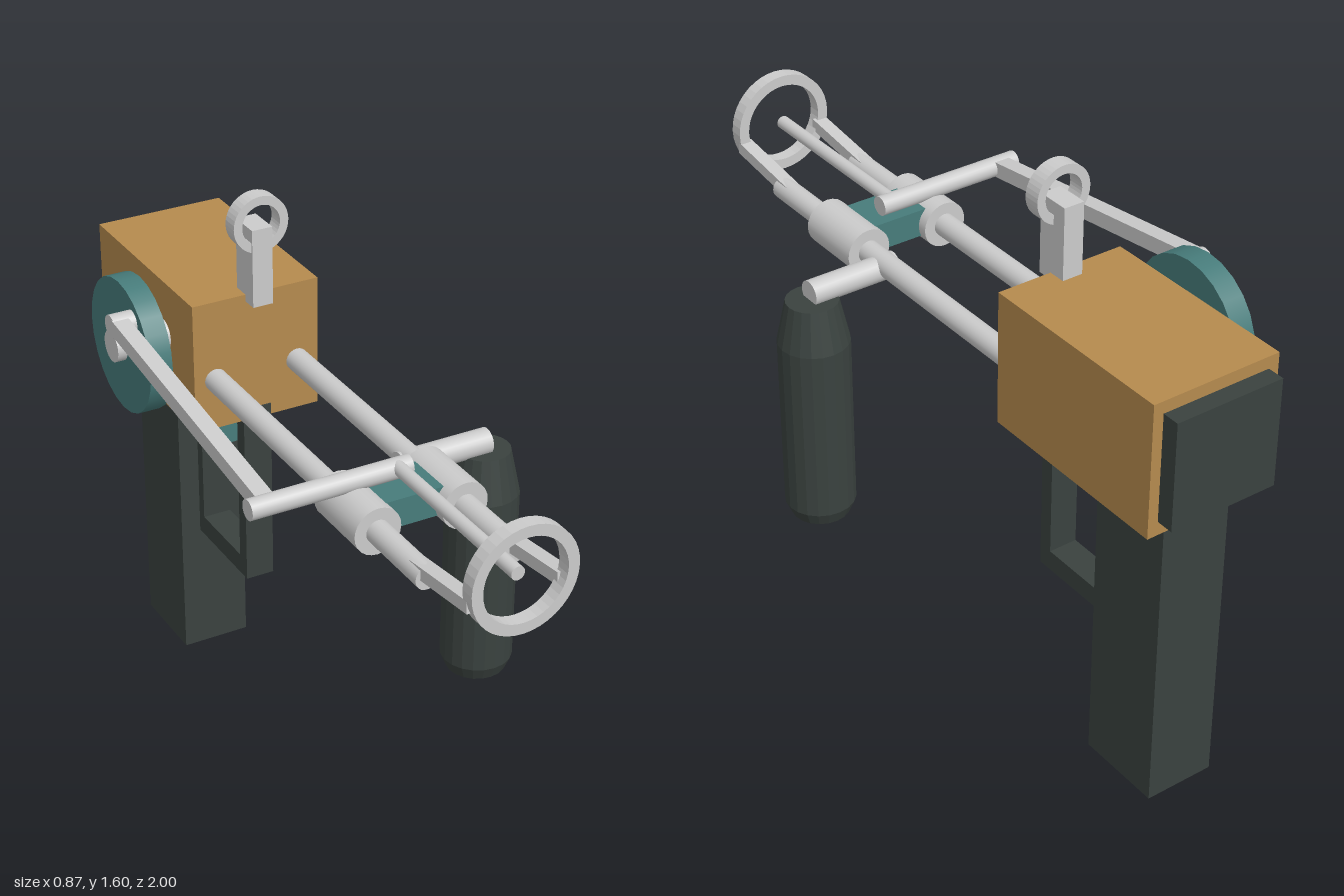
import * as THREE from 'three';

const MID = -0.02; // centre line of the body
const mat = (color) => new THREE.MeshStandardMaterial({ color });

export function createModel() {
  const model = new THREE.Group();
  const metal = mat(0xcccccc), wood = mat(0xb58a4e), teal = mat(0x477c7b), dark = mat(0x3a423f);

  const add = (name, geometry, material) => {
    const mesh = new THREE.Mesh(geometry, material);
    mesh.name = name;
    model.add(mesh);
    return mesh;
  };
  // Box from its extents on each axis
  const box = (name, material, [x0, x1], [y0, y1], [z0, z1]) =>
    add(name, new THREE.BoxGeometry(x1 - x0, y1 - y0, z1 - z0), material)
      .position.set((x0 + x1) / 2, (y0 + y1) / 2, (z0 + z1) / 2);
  // Cylinder between two points
  const rod = (name, material, a, b, r) => {
    const p = new THREE.Vector3(...a), q = new THREE.Vector3(...b);
    const mesh = add(name, new THREE.CylinderGeometry(r, r, p.distanceTo(q), 24), material);
    mesh.position.copy(p).lerp(q, 0.5);
    mesh.quaternion.setFromUnitVectors(new THREE.Vector3(0, 1, 0), q.sub(p).normalize());
  };
  // Square-section bar at constant x, running between two (y, z) points
  const bar = (name, x, width, thick, [y0, z0], [y1, z1]) => {
    const mesh = add(name, new THREE.BoxGeometry(width, thick, Math.hypot(y1 - y0, z1 - z0)), metal);
    mesh.position.set(x, (y0 + y1) / 2, (z0 + z1) / 2);
    mesh.rotation.x = -Math.atan2(y1 - y0, z1 - z0);
  };
  // Flat ring facing the front
  const ring = (name, y, outer, inner, z0, z1) => {
    const shape = new THREE.Shape().absarc(0, 0, outer, 0, Math.PI * 2);
    shape.holes.push(new THREE.Path().absarc(0, 0, inner, 0, Math.PI * 2, true));
    const geometry = new THREE.ExtrudeGeometry(shape, { depth: z1 - z0, bevelEnabled: false, curveSegments: 20 });
    add(name, geometry, metal).position.set(MID, y, z0);
  };

  // Body, back pad and rear handle
  box('body', wood, [-0.21, 0.17], [0.92, 1.305], [-0.95, -0.35]);
  box('backPad', dark, [-0.18, 0.14], [0.96, 1.27], [-1, -0.95]);
  box('rearHandle', dark, [-0.125, 0.08], [0, 0.94], [-0.905, -0.65]);

  // Trigger guard frame and trigger
  const guardX = [-0.065, 0.02];
  box('guardFront', dark, guardX, [0.4, 0.955], [-0.387, -0.345]);
  box('guardBottom', dark, guardX, [0.4, 0.46], [-0.655, -0.345]);
  box('guardRear', dark, guardX, [0.4, 0.955], [-0.655, -0.62]);
  box('guardTop', dark, guardX, [0.9, 0.955], [-0.655, -0.345]);
  box('trigger', teal, [-0.068, 0.027], [0.76, 0.95], [-0.615, -0.51]);

  // Twin rails with sliding sleeves and struts to the front ring
  for (const side of [-1, 1]) {
    const x = MID + side * 0.125;
    rod('rail', metal, [x, 1.07, -0.4], [x, 1.07, 0.77], 0.033);
    rod('sleeve', metal, [x, 1.07, 0.33], [x, 1.07, 0.535], 0.066);
    bar('strut', x, 0.04, 0.035, [1.08, 0.72], [1.112, 0.975]);
  }
  box('carriage', teal, [-0.105, 0.065], [1.04, 1.12], [0.36, 0.5]);
  ring('frontRing', 1.155, 0.148, 0.117, 0.96, 1);

  // Drive rod, cross rod and connecting link
  rod('driveRod', metal, [MID, 1.155, 0.4], [MID, 1.155, 0.965], 0.019);
  rod('crossRod', metal, [-0.435, 1.147, 0.405], [0.018, 1.147, 0.405], 0.028);
  bar('connectingLink', -0.383, 0.047, 0.045, [1.145, 0.405], [1.253, -0.44]);

  // Crank wheel with axle and pin
  rod('crankWheel', teal, [-0.34, 1.14, -0.537], [-0.275, 1.14, -0.537], 0.193);
  rod('axle', metal, [-0.368, 1.143, -0.537], [-0.2, 1.143, -0.537], 0.045);
  rod('crankPin', metal, [-0.405, 1.25, -0.452], [-0.33, 1.25, -0.452], 0.033);

  // Side grip on its arm
  rod('gripArm', metal, [0.072, 1.055, 0.262], [0.34, 1.055, 0.262], 0.036);
  const profile = [[0, 0.35], [0.083, 0.35], [0.1, 0.39], [0.1, 0.91], [0.073, 1.035], [0, 1.035]]
    .map(([r, y]) => new THREE.Vector2(r, y));
  const gripMaterial = mat(0x3a423f);
  gripMaterial.flatShading = true;
  add('sideGrip', new THREE.LatheGeometry(profile, 20), gripMaterial).position.set(0.332, 0, 0.262);

  // Sight post and ring
  box('sightPost', metal, [-0.05, 0.01], [1.285, 1.51], [-0.4, -0.305]);
  ring('sightRing', 1.52, 0.081, 0.056, -0.358, -0.31);

  return model;
}
